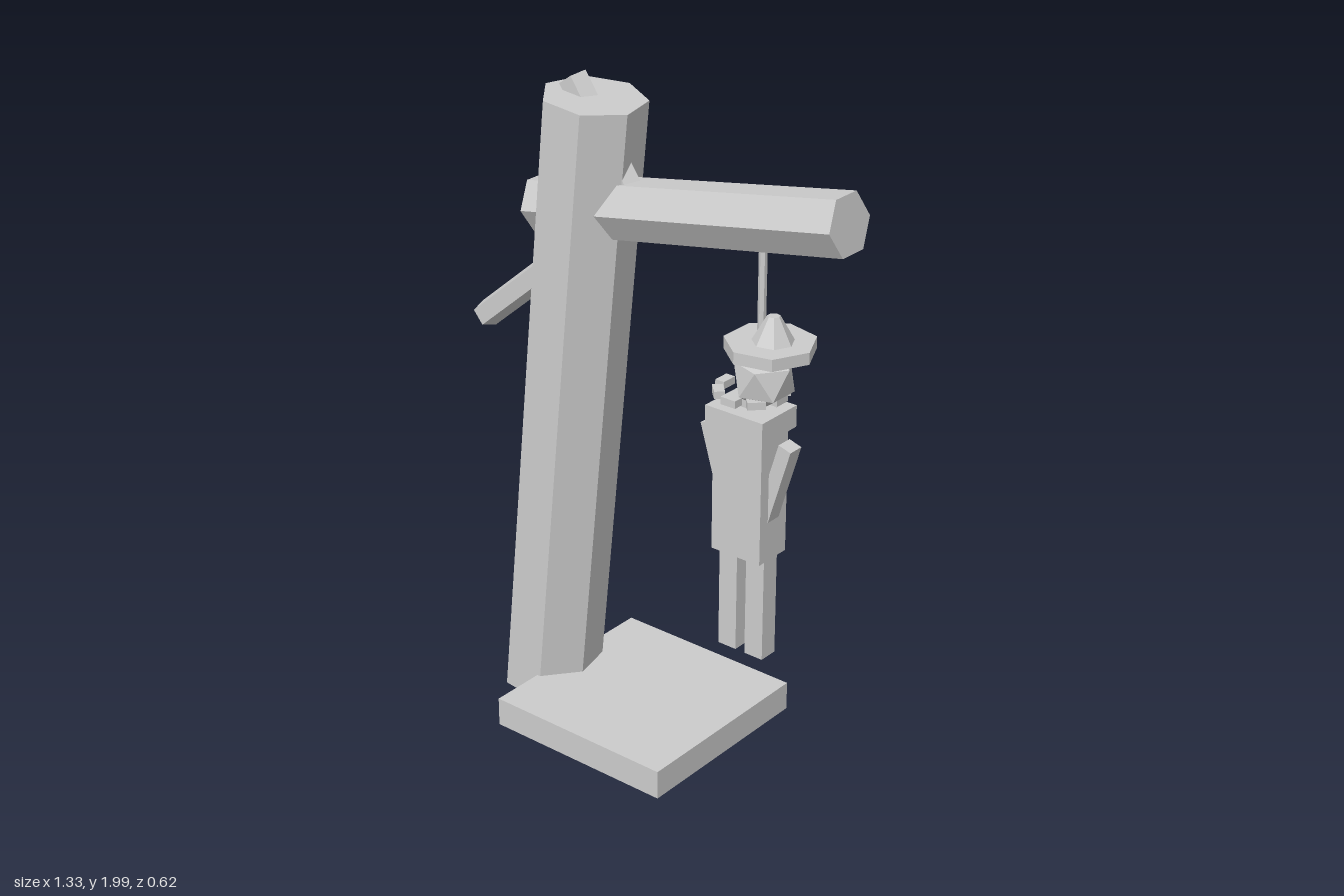
import * as THREE from 'three';

const material = new THREE.MeshStandardMaterial({ color: 0xcccccc, flatShading: true });

function add(parent, name, geometry, x = 0, y = 0, z = 0) {
  const mesh = new THREE.Mesh(geometry, material);
  mesh.name = name;
  mesh.position.set(x, y, z);
  parent.add(mesh);
  return mesh;
}

function box(parent, name, w, h, d, x, y, z = 0) {
  return add(parent, name, new THREE.BoxGeometry(w, h, d), x, y, z);
}

// Straight log between two points in the z = 0 plane, one corner facing the back
function log(parent, name, radius, sides, [x0, y0], [x1, y1]) {
  const dx = x1 - x0, dy = y1 - y0;
  const geometry = new THREE.CylinderGeometry(radius, radius, Math.hypot(dx, dy), sides, 1, false, Math.PI);
  const mesh = add(parent, name, geometry, (x0 + x1) / 2, (y0 + y1) / 2);
  mesh.rotation.z = Math.atan2(-dx, dy);
  return mesh;
}

export function createModel() {
  const model = new THREE.Group();
  model.name = 'hangingTree';

  // Base and leaning tree
  box(model, 'base', 0.615, 0.09, 0.62, -0.037, 0.06);
  log(model, 'trunk', 0.151, 7, [-0.408, 0.021], [-0.208, 1.934]);
  log(model, 'mainBranch', 0.09, 6, [-0.408, 1.58], [0.647, 1.767]);
  log(model, 'lowerBranch', 0.043, 5, [-0.3, 1.46], [-0.64, 1.175]);
  log(model, 'topBranch', 0.043, 5, [-0.05, 1.64], [-0.283, 1.974]);

  // Rope and noose
  add(model, 'rope', new THREE.CylinderGeometry(0.012, 0.012, 0.45, 6), 0.347, 1.415, -0.038);
  const noose = new THREE.Group();
  noose.name = 'noose';
  noose.position.set(0.345, 1.215, 0);
  model.add(noose);
  for (let i = 0; i < 8; i++) {
    const a = (i / 8) * Math.PI * 2;
    const bead = box(noose, 'nooseSegment', 0.03, 0.022, 0.05, Math.cos(a) * 0.09, 0, Math.sin(a) * 0.09);
    bead.rotation.y = -a;
  }

  // Hanging figure
  const figure = new THREE.Group();
  figure.name = 'figure';
  figure.position.x = 0.345;
  model.add(figure);
  box(figure, 'torso', 0.168, 0.385, 0.12, 0, 0.917);
  box(figure, 'shoulders', 0.195, 0.065, 0.156, 0, 1.138);
  box(figure, 'neck', 0.05, 0.08, 0.05, 0, 1.2);
  for (const side of [-1, 1]) {
    box(figure, 'leg', 0.062, 0.33, 0.06, side * 0.047, 0.57);
    const arm = box(figure, 'arm', 0.042, 0.29, 0.05, side * 0.093, 0.948);
    arm.rotation.z = -side * 0.29;
  }

  // Head with one corner pointing straight up
  const head = new THREE.IcosahedronGeometry(0.093, 0);
  head.rotateZ(-Math.atan(2 / (1 + Math.sqrt(5))));
  add(figure, 'head', head, 0.043, 1.268);

  // Hat
  add(figure, 'hatBrim', new THREE.CylinderGeometry(0.129, 0.129, 0.035, 7, 1, false, Math.PI / 2), 0.061, 1.362);
  add(figure, 'hatCrown', new THREE.CylinderGeometry(0.018, 0.06, 0.075, 7, 1, false, Math.PI / 2), 0.07, 1.416);

  return model;
}
